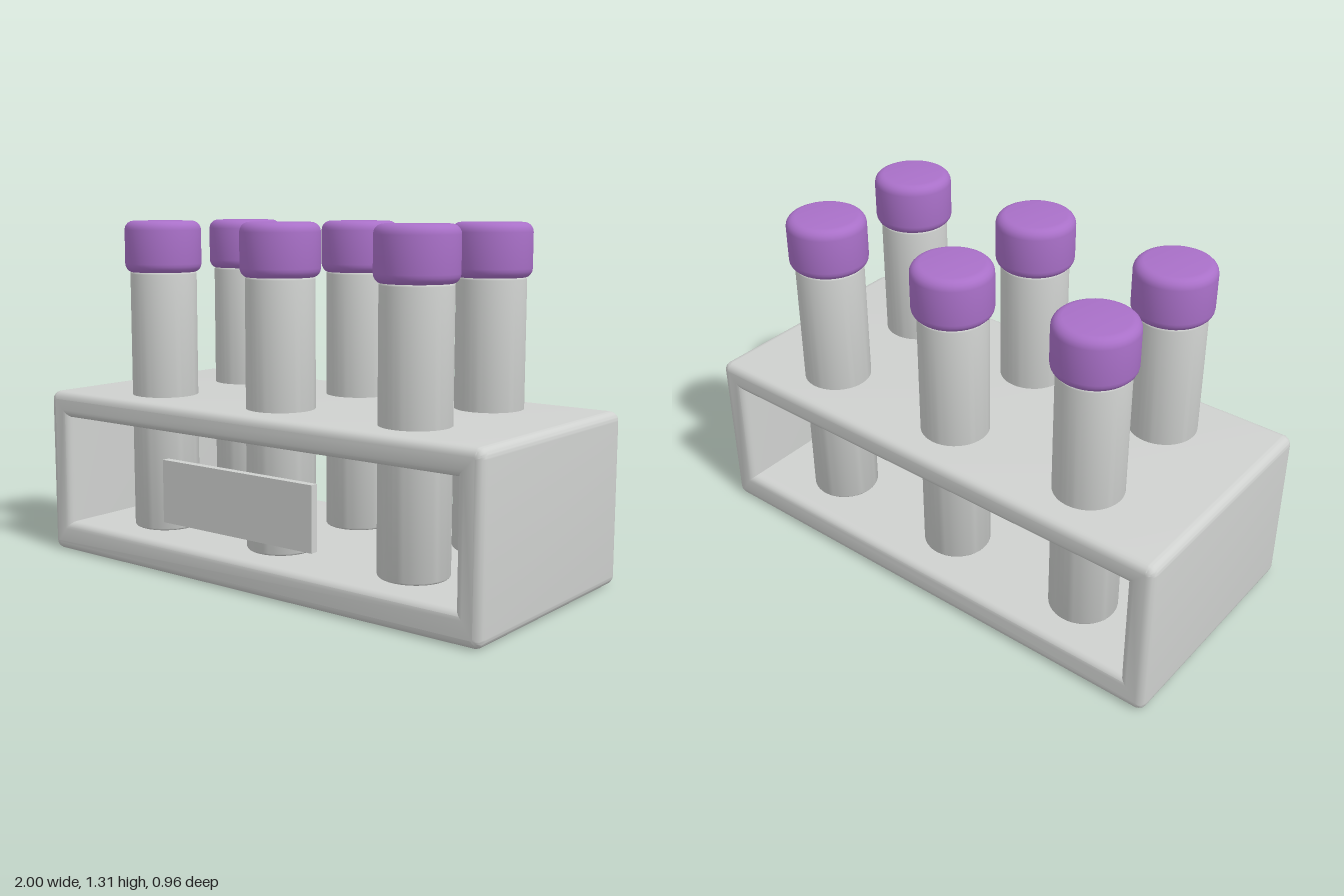
import * as THREE from 'three';
import { toCreasedNormals } from 'three/addons/utils/BufferGeometryUtils.js';

const grey = new THREE.MeshStandardMaterial({ color: 0xcfd1cf });
grey.name = 'light grey';
const purple = new THREE.MeshStandardMaterial({ color: 0xa970c8 });
purple.name = 'purple';

function named(name, geometry, material) {
  const mesh = new THREE.Mesh(geometry, material);
  mesh.name = name;
  return mesh;
}

// Rounded rectangle outline, as a Shape or a hole Path
function roundedRect(Type, x0, y0, x1, y1, r) {
  const p = new Type();
  p.absarc(x1 - r, y0 + r, r, -Math.PI / 2, 0);
  p.absarc(x1 - r, y1 - r, r, 0, Math.PI / 2);
  p.absarc(x0 + r, y1 - r, r, Math.PI / 2, Math.PI);
  p.absarc(x0 + r, y0 + r, r, Math.PI, Math.PI * 1.5);
  return p;
}

// Solid cylinder with rounded rims
function roundedCylinder(radius, y0, y1, r) {
  const points = [new THREE.Vector2(0, y0)];
  const steps = 5;
  for (let i = 0; i <= steps; i++) {
    const a = (i / steps - 1) * Math.PI / 2;
    points.push(new THREE.Vector2(radius - r + r * Math.cos(a), y0 + r + r * Math.sin(a)));
  }
  for (let i = 0; i <= steps; i++) {
    const a = (i / steps) * Math.PI / 2;
    points.push(new THREE.Vector2(radius - r + r * Math.cos(a), y1 - r + r * Math.sin(a)));
  }
  points.push(new THREE.Vector2(0, y1));
  return toCreasedNormals(new THREE.LatheGeometry(points, 40), 0.6);
}

export function createModel() {
  const model = new THREE.Group();
  model.name = 'testTubeRack';

  // Open box frame, bevelled at the front and back rims
  const bevel = 0.03;
  const back = -0.48, front = 0.46;
  const outline = roundedRect(THREE.Shape, -1, 0, 1, 0.64, 0.035);
  const opening = new THREE.Path([
    new THREE.Vector2(-0.9, 0.118), new THREE.Vector2(-0.9, 0.54),
    new THREE.Vector2(0.9, 0.54), new THREE.Vector2(0.9, 0.118),
  ]);
  outline.holes.push(opening);
  const frame = new THREE.ExtrudeGeometry(outline, {
    depth: front - back - 2 * bevel,
    bevelThickness: bevel,
    bevelSize: bevel,
    bevelOffset: -bevel,
    bevelSegments: 4,
    curveSegments: 5,
  });
  frame.translate(0, 0, back + bevel);
  model.add(named('rackFrame', toCreasedNormals(frame, 0.6), grey));

  // Blank label plate at the front
  const plate = new THREE.BoxGeometry(0.7, 0.235, 0.03);
  plate.translate(0, 0.327, 0.468);
  model.add(named('labelPlate', plate, grey));

  // Two rows of three capped tubes
  const tube = roundedCylinder(0.127, 0.118, 1.12, 0.012);
  const cap = roundedCylinder(0.146, 1.112, 1.31, 0.035);
  for (const z of [0.225, -0.248]) {
    for (const x of [-0.59, 0, 0.59]) {
      const group = new THREE.Group();
      group.name = 'cappedTube';
      group.add(named('tube', tube, grey), named('cap', cap, purple));
      group.position.set(x, 0, z);
      model.add(group);
    }
  }
  return model;
}
